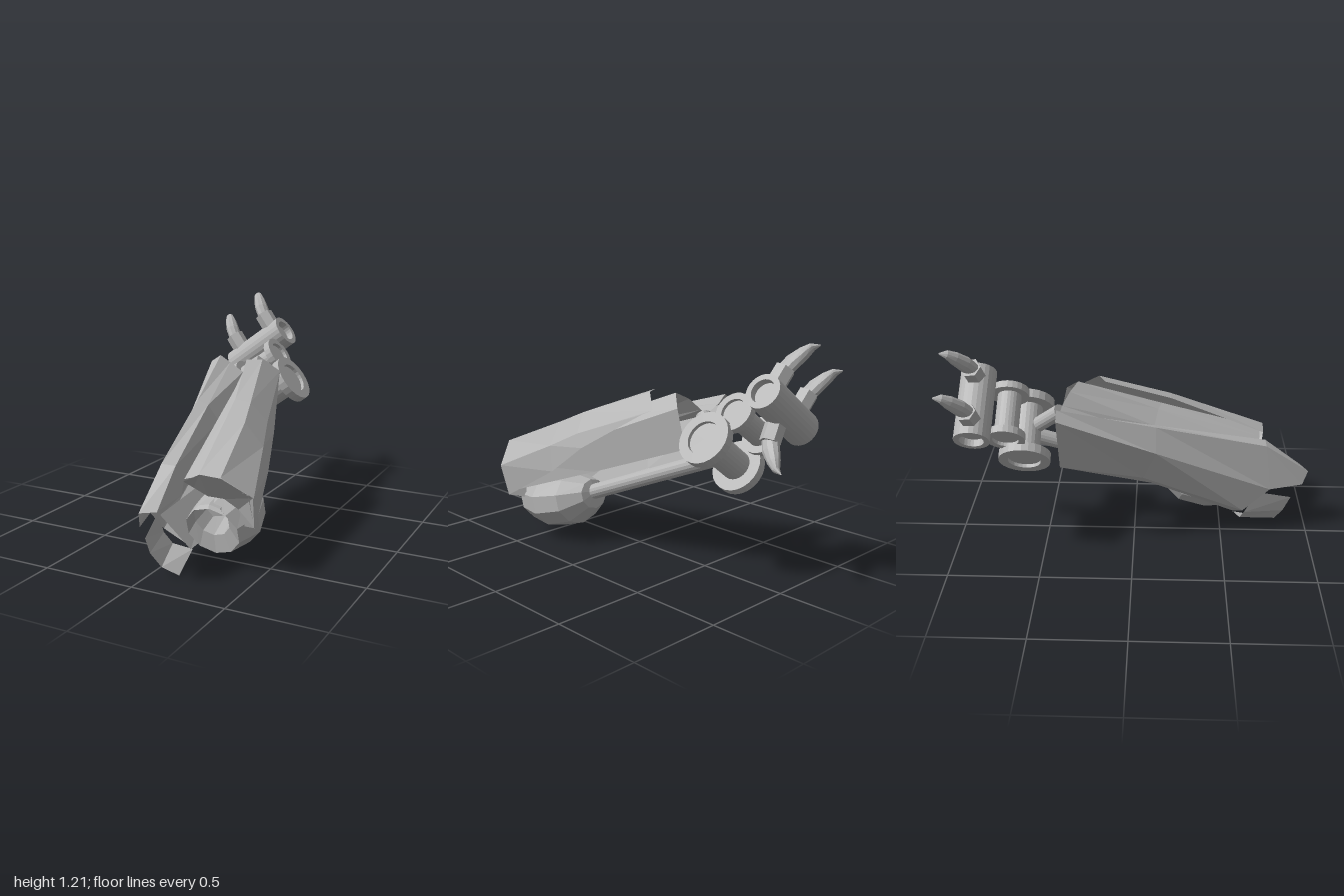
import * as THREE from 'three';

const V = (p) => new THREE.Vector3(...p);

export function createModel() {
  const model = new THREE.Group();
  const grey = new THREE.MeshStandardMaterial({ color: 0xb4b4b4, flatShading: true, side: THREE.DoubleSide });
  grey.name = 'plain grey';

  const add = (name, geometry) => {
    const mesh = new THREE.Mesh(geometry, grey);
    mesh.name = name;
    model.add(mesh);
    return mesh;
  };

  // Surface stretched between rows of points
  const loft = (name, rows, closed = false) => {
    const n = rows[0].length, index = [];
    for (let r = 0; r < rows.length - 1; r++) {
      for (let i = 0; i < (closed ? n : n - 1); i++) {
        const a = r * n + i, b = r * n + (i + 1) % n;
        index.push(a, a + n, b, b, a + n, b + n);
      }
    }
    const g = new THREE.BufferGeometry();
    g.setAttribute('position', new THREE.Float32BufferAttribute(rows.flat(2), 3));
    g.setIndex(index);
    g.computeVertexNormals();
    return add(name, g);
  };

  // Place a geometry built along y between two points
  const between = (mesh, a, b) => {
    const d = V(b).sub(V(a));
    mesh.position.copy(V(a)).addScaledVector(d, 0.5);
    mesh.quaternion.setFromUnitVectors(new THREE.Vector3(0, 1, 0), d.normalize());
    return mesh;
  };
  const rod = (name, a, b, r, sides = 16) =>
    between(add(name, new THREE.CylinderGeometry(r, r, V(a).distanceTo(V(b)), sides)), a, b);

  // Flanged roller with recessed ends
  const spool = (name, a, b, R, core, hole, t, depth) => {
    const h = V(a).distanceTo(V(b)) / 2;
    const half = [[0, -h + depth], [hole, -h + depth], [hole, -h], [R, -h], [R, -h + t], [core, -h + t]];
    const pts = [...half, ...half.map(([x, y]) => [x, -y]).reverse()].map((p) => new THREE.Vector2(...p));
    return between(add(name, new THREE.LatheGeometry(pts, 24)), a, b);
  };

  // Rollers of the elbow, wrist and palm
  spool('elbowRoller', [-0.155, 0.53, -0.6], [0.145, 0.755, -0.6], 0.143, 0.08, 0.09, 0.05, 0.02);
  spool('wristRoller', [-0.235, 0.70, -0.68], [0.015, 0.88, -0.68], 0.105, 0.065, 0.07, 0.04, 0.02);
  spool('palmBar', [-0.35, 0.755, -0.835], [-0.015, 1.0, -0.835], 0.095, 0.095, 0.065, 0.03, 0.04);

  // Struts leading into the forearm
  rod('forearmRod', [0, 0.62, -0.58], [0.18, 0.29, 0.22], 0.043);
  rod('shortStrut', [0.02, 0.64, -0.58], [-0.08, 0.8, -0.4], 0.042);

  // Claws: a collar and a curved blade made from shrinking oval rings
  const side = new THREE.Vector3(0.81, 0.585, 0);
  const claw = (name, base, path, widths, depths) => {
    const pts = path.map((p) => V(base).add(V(p)));
    const rows = pts.map((p, k) => {
      const dir = pts[Math.min(k + 1, pts.length - 1)].clone().sub(pts[Math.max(k - 1, 0)]).normalize();
      const across = new THREE.Vector3().crossVectors(dir, side).normalize();
      return Array.from({ length: 10 }, (_, i) => {
        const t = i / 10 * Math.PI * 2;
        return p.clone().addScaledVector(side, Math.cos(t) * widths[k])
          .addScaledVector(across, Math.sin(t) * depths[k]).toArray();
      });
    });
    loft(name, rows, true);
    const collarEnd = V(base).lerp(pts[1], 1.1).toArray();
    rod(name + 'Collar', base, collarEnd, 0.055, 6);
  };
  const w = [0.033, 0.036, 0.038, 0.034, 0.024, 0.004];
  const d = [0.04, 0.046, 0.046, 0.034, 0.018, 0.003];
  const fingerPath = [[0, 0, 0], [-0.055, 0.07, -0.01], [-0.085, 0.11, -0.035],
    [-0.12, 0.155, -0.075], [-0.145, 0.185, -0.105], [-0.162, 0.195, -0.14]];
  claw('innerFinger', [-0.115, 1.015, -0.835], fingerPath, w, d);
  claw('outerFinger', [-0.32, 0.865, -0.835], fingerPath, w, d);
  claw('thumb', [-0.125, 0.81, -0.835],
    fingerPath.map(([x, y, z]) => [-x * 0.9, -y * 0.97, z * 1.1]), w, d);

  // Forearm shell: underside strip, left wall, ridge, valley, narrow barrel
  loft('forearmShell', [
    [[-0.14, 0.5, -0.36], [-0.2, 0.52, -0.4], [-0.31, 0.85, -0.4], [-0.25, 0.89, -0.4], [-0.19, 0.85, -0.41],
      [-0.1, 0.8, -0.4], [-0.07, 0.83, -0.39], [-0.02, 0.89, -0.35], [0.04, 0.925, -0.31], [0.1, 0.86, -0.38],
      [0.09, 0.65, -0.43]],
    [[-0.03, 0.33, 0.1], [-0.11, 0.41, 0.05], [-0.185, 0.605, 0.12], [-0.12, 0.73, 0.12], [-0.055, 0.71, 0.12],
      [0, 0.62, 0.1], [0.02, 0.67, 0.11], [0.11, 0.73, 0.13], [0.19, 0.73, 0.15], [0.27, 0.65, 0.1],
      [0.27, 0.46, 0.08]],
    [[0.1, 0.07, 0.58], [-0.045, 0.165, 0.62], [-0.03, 0.3, 0.77], [0.02, 0.55, 0.74], [0.1, 0.55, 0.74],
      [0.12, 0.4, 0.72], [0.13, 0.48, 0.71], [0.22, 0.51, 0.72], [0.34, 0.51, 0.73], [0.455, 0.43, 0.67],
      [0.455, 0.27, 0.61]],
  ]);

  // Pointed nose at the front of the left ridge
  loft('ridgeNose', [
    [[-0.03, 0.3, 0.77], [0.02, 0.55, 0.74], [0.1, 0.55, 0.74], [0.12, 0.4, 0.72]],
    [[0.03, 0.3, 0.96], [0.045, 0.38, 0.99], [0.12, 0.385, 0.95], [0.12, 0.36, 0.93]],
  ]);

  // Overlapping plate on the right side, with a stepped rear edge
  loft('sidePlate', [
    [[0.04, 0.925, -0.16], [0.12, 0.925, -0.2], [0.19, 0.85, -0.29], [0.21, 0.82, -0.23]],
    [[0.15, 0.78, 0.2], [0.24, 0.77, 0.2], [0.32, 0.67, 0.16], [0.335, 0.6, 0.11]],
    [[0.17, 0.72, 0.33], [0.28, 0.7, 0.35], [0.375, 0.58, 0.33], [0.39, 0.44, 0.3]],
    [[0.23, 0.53, 0.74], [0.35, 0.53, 0.75], [0.48, 0.42, 0.66], [0.465, 0.25, 0.61]],
  ]);

  // Lip turning inward around the open mouth
  loft('mouthLip', [
    [[0.13, 0.47, 0.72], [0.23, 0.525, 0.74], [0.35, 0.525, 0.75], [0.475, 0.42, 0.66], [0.46, 0.25, 0.61]],
    [[0.13, 0.41, 0.62], [0.2, 0.37, 0.6], [0.29, 0.37, 0.6], [0.36, 0.32, 0.58], [0.38, 0.23, 0.56]],
  ]);

  // Rounded cup holding the front end of the rod, with a hollow front
  const cupRings = [[0.18, 0.3, 0.18, 0.01, 0.01], [0.18, 0.29, 0.19, 0.09, 0.08], [0.21, 0.25, 0.29, 0.165, 0.14],
    [0.23, 0.21, 0.45, 0.19, 0.15], [0.23, 0.195, 0.61, 0.15, 0.13], [0.22, 0.25, 0.6, 0.1, 0.09],
    [0.18, 0.28, 0.36, 0.08, 0.07]];
  loft('rodCup', cupRings.map(([x, y, z, rx, ry]) => Array.from({ length: 10 }, (_, i) => {
    const t = (i + 0.5) / 10 * Math.PI * 2;
    return [x + Math.cos(t) * rx, y + Math.sin(t) * ry, z + Math.sin(t) * ry * 0.3];
  })), true);

  // Lower jaw plate
  loft('lowerJaw', [
    [[-0.03, 0.28, 0.7], [-0.04, 0.15, 0.63], [0, 0.09, 0.61], [0.1, 0.065, 0.58]],
    [[0.02, 0.22, 0.9], [0.02, 0.13, 0.86], [0.06, 0.05, 0.82], [0.135, 0.005, 0.78]],
  ]);
  // Floor joining the jaw to the mouth
  loft('mouthFloor', [
    [[-0.03, 0.26, 0.68], [0.1, 0.07, 0.6]],
    [[0.1, 0.4, 0.35], [0.22, 0.2, 0.35]],
  ]);

  return model;
}
